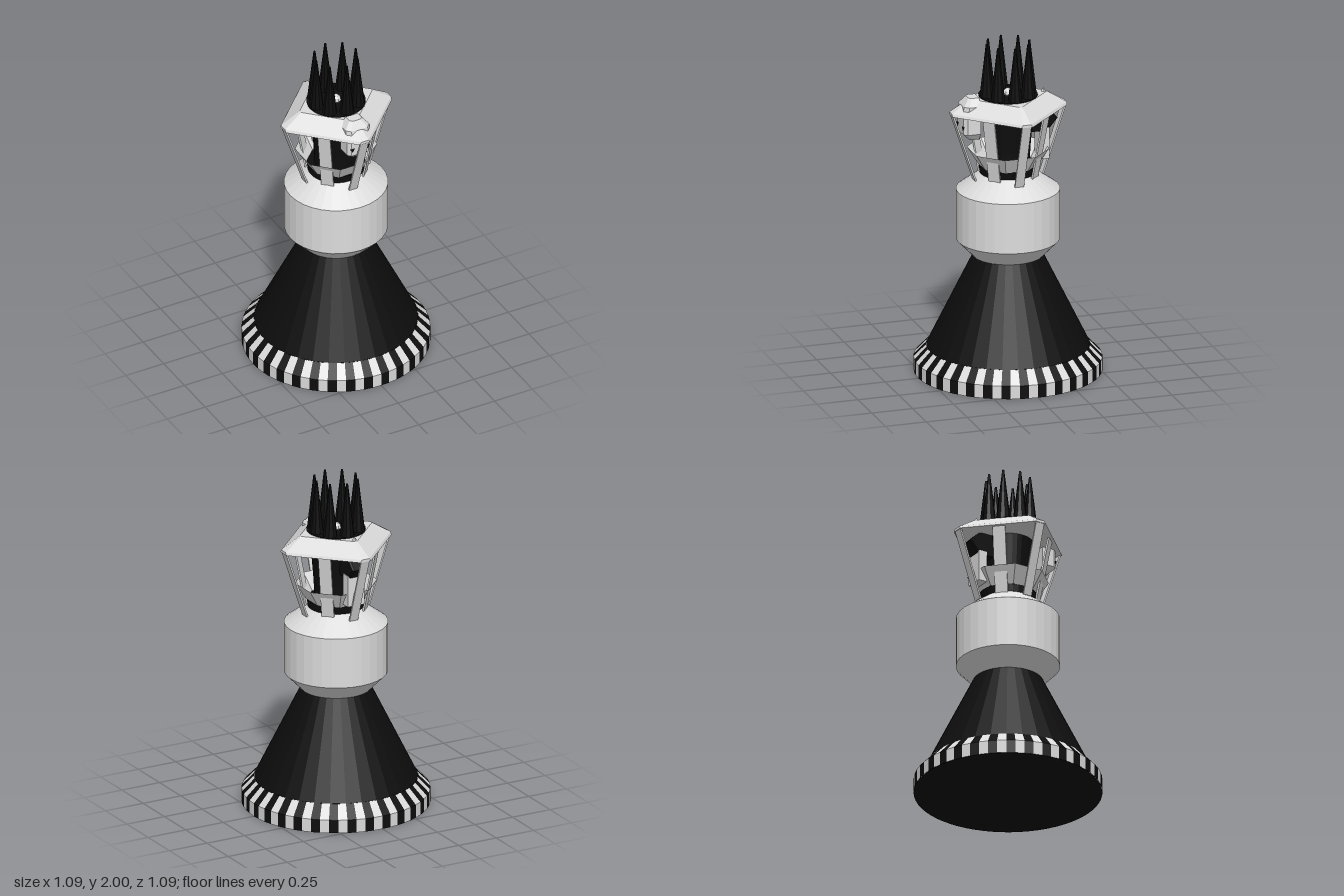
import * as THREE from 'three';
import { mergeGeometries } from 'three/addons/utils/BufferGeometryUtils.js';
import { ConvexGeometry } from 'three/addons/geometries/ConvexGeometry.js';

export function createModel() {
  const model = new THREE.Group();
  model.name = 'tower';
  const material = (name, color) => Object.assign(
    new THREE.MeshStandardMaterial({ color, flatShading: true, side: THREE.DoubleSide }), { name });
  const black = material('black', 0x0d0d0d);
  const pale = material('paleGrey', 0xdcdcdc);

  const add = (name, geometry, mat, parent = model) => {
    const mesh = new THREE.Mesh(geometry, mat);
    mesh.name = name;
    parent.add(mesh);
    return mesh;
  };
  const lathe = (points, sides = 32, start = 0, length = Math.PI * 2) => new THREE.LatheGeometry(
    points.map(([r, y]) => new THREE.Vector2(r, y)), sides, start, length);
  // Solid from stacked rectangles: [y, half width, back z, front z, corner chamfer]
  const hull = (layers) => new ConvexGeometry(layers.flatMap(([y, w, back, front, c]) => [
    [-w, back], [w, back], [w, front - c], [-w, front - c], [w - c, front], [c - w, front],
  ].map(([x, z]) => new THREE.Vector3(x, y, z))));

  // Striped foot
  const stripes = [[], []];
  const step = Math.PI / 32;
  for (let i = 0; i < 64; i++) {
    stripes[i % 2].push(lathe([[0.547, 0], [0.547, 0.08], [0.475, 0.155]], 1, i * step, step));
  }
  add('blackStripes', mergeGeometries(stripes[0]), black);
  add('paleStripes', mergeGeometries(stripes[1]), pale);
  add('underside', lathe([[0, 0], [0.547, 0]]), black);

  // Skirt and drum
  add('skirt', lathe([[0.475, 0.155], [0.205, 0.705]]), black);
  add('drum', lathe([[0.205, 0.705], [0.302, 0.805], [0.302, 1.108], [0.16, 1.212], [0, 1.212]]), pale);

  // Dark core with its collar
  add('core', lathe([[0.125, 1.21], [0.13, 1.36], [0.15, 1.6], [0.173, 1.682], [0, 1.682]]), black);
  add('coreCollar', lathe([[0.165, 1.21], [0.17, 1.255], [0.125, 1.255]]), black);
  add('flaredCollar', lathe([[0.175, 1.255], [0.24, 1.355]], 8, Math.PI / 8), pale);

  // Diamond roof with clipped corners
  const roofPoints = [];
  for (const [r, w, y] of [[0.35, 0.035, 1.588], [0.35, 0.025, 1.604], [0.235, 0.008, 1.677]]) {
    for (const s of [-1, 1]) {
      for (const t of [-1, 1]) {
        roofPoints.push(new THREE.Vector3(s * r, y, t * w), new THREE.Vector3(t * w, y, s * r));
      }
    }
  }
  add('roof', new ConvexGeometry(roofPoints), pale);

  // Slanted struts: thin ones at the corners, wide ones at the diagonals
  for (let i = 0; i < 8; i++) {
    const corner = i % 2 === 0;
    const [r0, y0, r1, y1, width] = corner ? [0.205, 1.18, 0.343, 1.595, 0.055] : [0.172, 1.195, 0.25, 1.6, 0.075];
    const arm = new THREE.Group();
    arm.name = corner ? 'cornerStrut' : 'diagonalStrut';
    arm.rotation.y = i * Math.PI / 4;
    const plate = add('strutPlate', new THREE.BoxGeometry(width, Math.hypot(r1 - r0, y1 - y0), 0.01), pale, arm);
    plate.position.set(0, (y0 + y1) / 2, (r0 + r1) / 2);
    plate.rotation.x = Math.atan2(r1 - r0, y1 - y0);
    model.add(arm);
  }

  // Crown of spikes around a small knob
  for (let i = 0; i < 8; i++) {
    const a = i * Math.PI / 4;
    add('spike', new THREE.CylinderGeometry(0.006, 0.044, 0.325, 10), black)
      .position.set(0.13 * Math.sin(a), 1.8375, 0.13 * Math.cos(a));
  }
  add('knob', new THREE.SphereGeometry(0.03, 8, 6), pale).position.y = 1.69;

  // Front lamp, with dark lenses, and its cap on the roof
  add('lamp', hull([[1.44, 0.045, 0.19, 0.25, 0.02], [1.48, 0.075, 0.19, 0.29, 0.02],
    [1.6, 0.075, 0.19, 0.29, 0.02]]), pale);
  for (const s of [-1, 1]) {
    const lens = add('lens', new THREE.CylinderGeometry(0.015, 0.015, 0.006, 3), black);
    lens.rotation.x = Math.PI / 2;
    lens.position.set(s * 0.05, 1.52, 0.291);
  }
  add('lampCap', hull([[1.62, 0.078, 0.19, 0.29, 0.025], [1.648, 0.078, 0.19, 0.285, 0.025],
    [1.692, 0.04, 0.19, 0.25, 0.015]]), pale);

  // Rear equipment: dark wedge, pale case and a roof peg
  const wedge = add('rearWedge', hull([[1.45, 0.05, 0.1, 0.23, 0.01], [1.52, 0.05, 0.1, 0.29, 0.01],
    [1.585, 0.05, 0.1, 0.225, 0.01]]), black);
  wedge.rotation.y = Math.PI;
  add('rearCase', new THREE.BoxGeometry(0.11, 0.19, 0.055), pale).position.set(0, 1.375, -0.208);
  add('roofPeg', new THREE.ConeGeometry(0.025, 0.04, 4), pale).position.set(0, 1.68, -0.215);

  return model;
}
